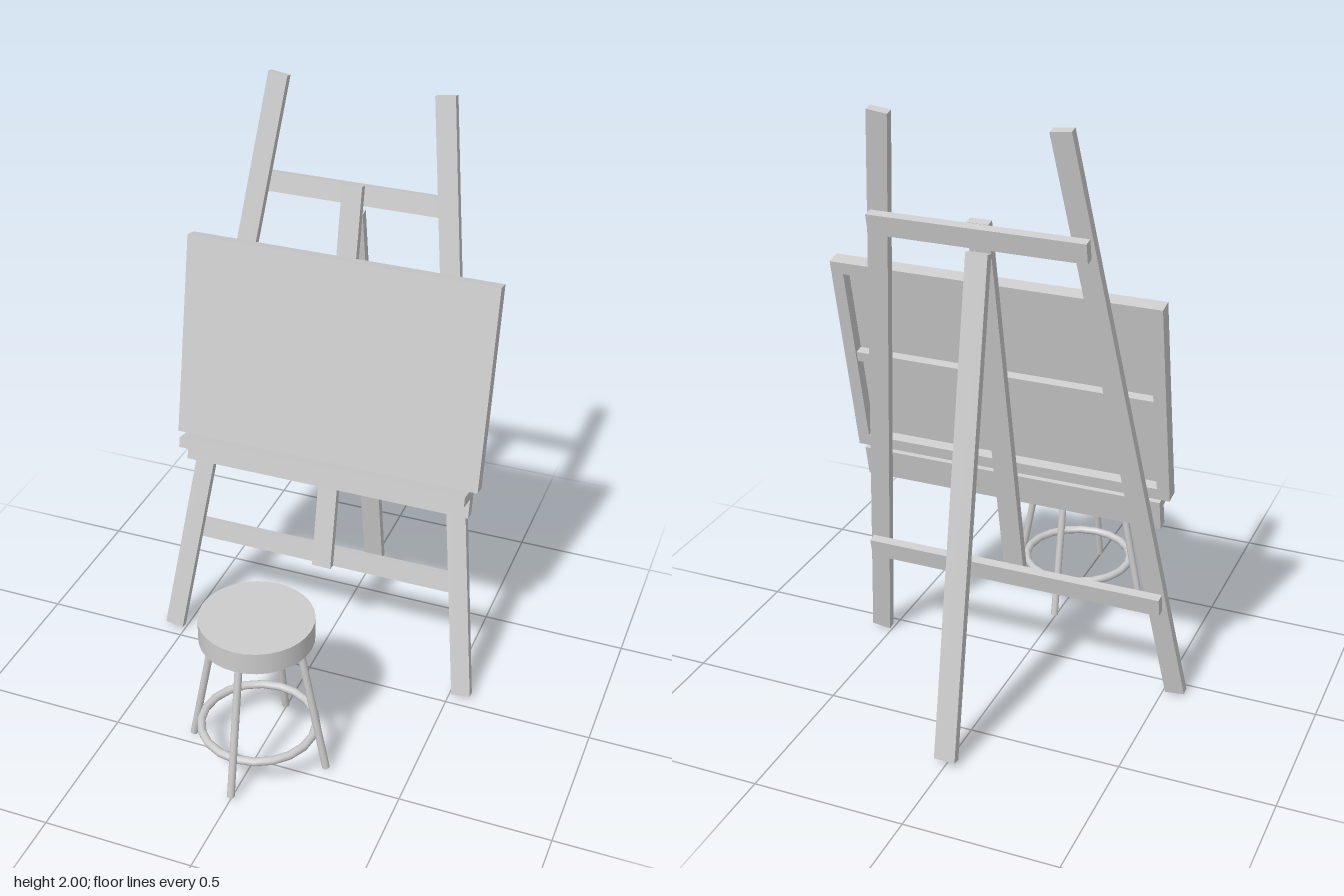
import * as THREE from 'three';

const material = new THREE.MeshStandardMaterial({ color: 0xcccccc });

function add(parent, name, geometry, x = 0, y = 0, z = 0) {
  const mesh = new THREE.Mesh(geometry, material);
  mesh.name = name;
  mesh.position.set(x, y, z);
  parent.add(mesh);
  return mesh;
}

// Box given by its width and its lower/upper and back/front limits
function slab(parent, name, width, y0, y1, z0, z1, x = 0) {
  return add(parent, name, new THREE.BoxGeometry(width, y1 - y0, z1 - z0), x, (y0 + y1) / 2, (z0 + z1) / 2);
}

// Lays a part modelled along y between two points
function span(mesh, a, b) {
  mesh.position.copy(a).add(b).multiplyScalar(0.5);
  mesh.quaternion.setFromUnitVectors(new THREE.Vector3(0, 1, 0), b.clone().sub(a).normalize());
  return mesh;
}

function makeEasel() {
  const easel = new THREE.Group();
  easel.name = 'easel';

  // Everything in the leaning plane: y runs up the slope, z points out of it
  const front = new THREE.Group();
  front.name = 'leaningFrame';
  front.position.z = -0.05;
  front.rotation.x = -Math.atan(0.2);
  easel.add(front);

  for (const side of [-1, 1]) {
    const foot = new THREE.Vector3(side * 0.541, 0.008, 0);
    const tip = new THREE.Vector3(side * 0.276, 2.031, 0);
    const leg = add(front, side > 0 ? 'leftFrontLeg' : 'rightFrontLeg',
      new THREE.BoxGeometry(0.066, foot.distanceTo(tip), 0.028));
    leg.position.copy(foot).add(tip).multiplyScalar(0.5);
    leg.rotation.z = Math.atan2(foot.x - tip.x, tip.y - foot.y);
  }
  slab(front, 'upperCrossbar', 0.685, 1.645, 1.71, -0.044, -0.014);
  slab(front, 'lowerCrossbar', 1.02, 0.369, 0.434, -0.044, -0.014);
  slab(front, 'centerMast', 0.068, 0.369, 1.711, -0.014, 0.014);

  // Tray with its backing board
  slab(front, 'tray', 1.01, 0.751, 0.786, 0.014, 0.127);
  slab(front, 'trayBoard', 1.01, 0.682, 0.751, 0.014, 0.051);

  // Canvas stretched over an open-backed frame
  const canvas = new THREE.Group();
  canvas.name = 'canvas';
  front.add(canvas);
  const w = 1.066, y0 = 0.787, y1 = 1.481, back = 0.028, rim = 0.04;
  slab(canvas, 'canvasPanel', w, y0, y1, 0.064, 0.076);
  const outline = new THREE.Shape([[-1, y0], [1, y0], [1, y1], [-1, y1]]
    .map(([s, y]) => new THREE.Vector2(s * w / 2, y)));
  const inX = w / 2 - rim;
  outline.holes.push(new THREE.Path([[-1, y0 + rim], [-1, y1 - rim], [1, y1 - rim], [1, y0 + rim]]
    .map(([s, y]) => new THREE.Vector2(s * inX, y))));
  add(canvas, 'stretcherFrame',
    new THREE.ExtrudeGeometry(outline, { depth: 0.036, bevelEnabled: false }), 0, 0, back);
  slab(canvas, 'stretcherBrace', 2 * inX, 1.117, 1.151, 0.034, 0.064);

  // Back leg
  const top = new THREE.Vector3(0, 1.585, -0.394), foot = new THREE.Vector3(0, 0.02, -0.691);
  span(add(easel, 'backLeg', new THREE.BoxGeometry(0.07, top.distanceTo(foot), 0.029)), foot, top);
  return easel;
}

function makeStool() {
  const stool = new THREE.Group();
  stool.name = 'stool';
  stool.position.z = 0.459;
  add(stool, 'seat', new THREE.CylinderGeometry(0.185, 0.185, 0.076, 32), 0, 0.525, 0);
  add(stool, 'footRing', new THREE.TorusGeometry(0.188, 0.014, 10, 20).rotateX(Math.PI / 2), 0, 0.13, 0);

  // Four splayed legs
  for (let i = 0; i < 4; i++) {
    const a = i * Math.PI / 2;
    const at = (r, y) => new THREE.Vector3(r * Math.sin(a), y, r * Math.cos(a));
    const foot = at(0.235, 0.012), head = at(0.141, 0.5);
    span(add(stool, 'stoolLeg' + (i + 1),
      new THREE.CylinderGeometry(0.0125, 0.0125, foot.distanceTo(head), 12)), foot, head);
  }
  return stool;
}

export function createModel() {
  const model = new THREE.Group();
  model.name = 'easelAndStool';
  model.add(makeEasel(), makeStool());
  return model;
}
